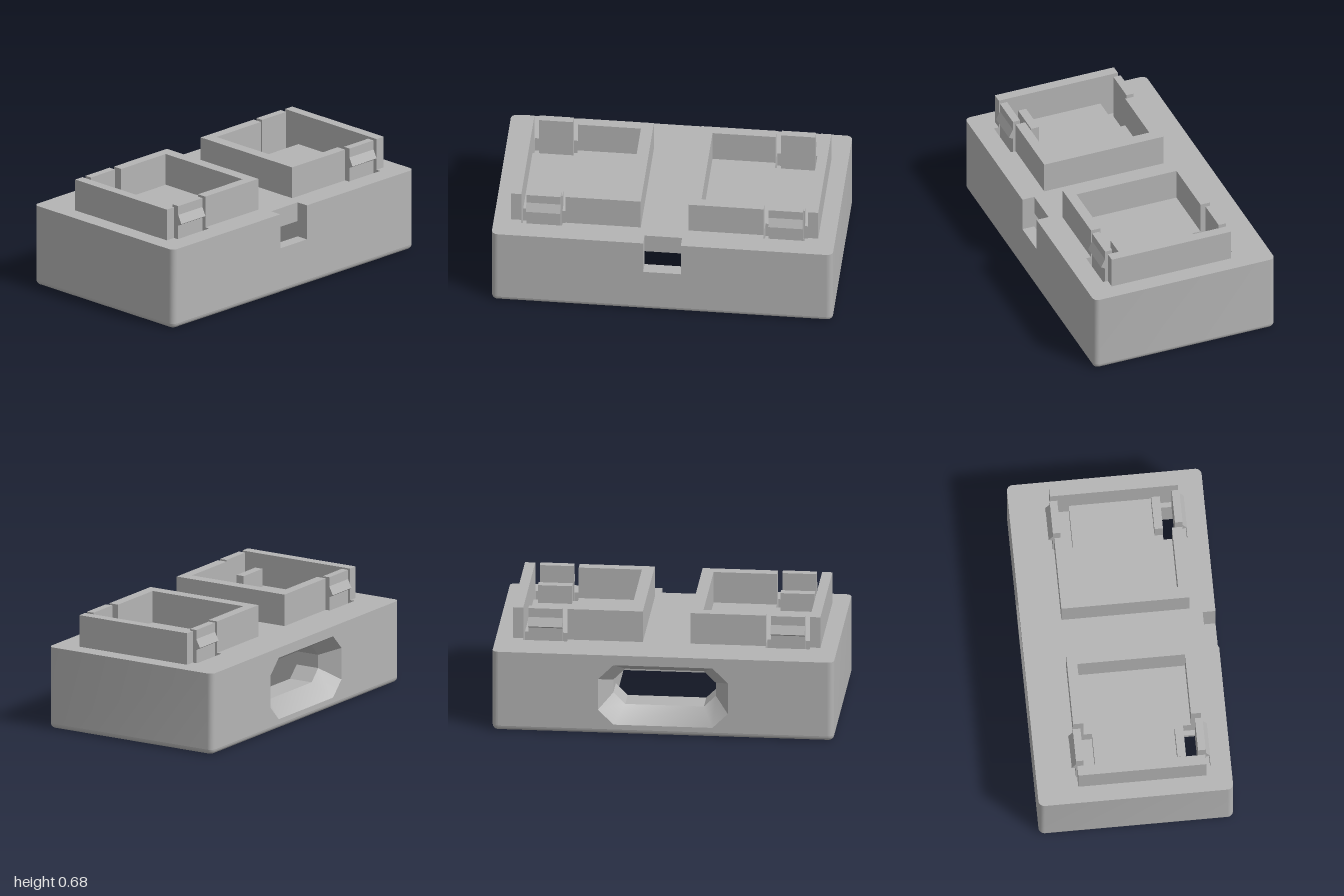
import * as THREE from 'three';
import { toCreasedNormals } from 'three/addons/utils/BufferGeometryUtils.js';

const TOP = 0.49, RIM = 0.68, CEIL = 0.375, POCKET = 0.4, FILLET = 0.03;

const plastic = () => {
  const m = new THREE.MeshStandardMaterial({ color: 0xb4b4b4, side: THREE.DoubleSide });
  m.name = 'grey plastic';
  return m;
};

const rect = (x0, x1, y0, y1) => [[x0, y0], [x1, y0], [x1, y1], [x0, y1]];
const mirrorX = (pts) => pts.map(([x, y]) => [-x, y]);

function toShape(pts, holes = []) {
  const v = (list) => list.map(([x, y]) => new THREE.Vector2(x, y));
  const shape = new THREE.Shape(v(pts));
  shape.holes = holes.map((h) => new THREE.Path(v(h)));
  return shape;
}

// Surface through rings of 3D points
function loft(rings, closed) {
  const n = rings[0].length, index = [];
  const cols = closed ? n : n - 1;
  for (let r = 0; r < rings.length - 1; r++) {
    for (let i = 0; i < cols; i++) {
      const a = r * n + i, b = r * n + (i + 1) % n;
      index.push(a, a + n, b, b, a + n, b + n);
    }
  }
  const g = new THREE.BufferGeometry();
  g.setAttribute('position', new THREE.Float32BufferAttribute(rings.flat(2), 3));
  g.setIndex(index);
  return toCreasedNormals(g, 0.6);
}
const atY = (pts, y) => pts.map(([x, z]) => [x, y, z]);
const atZ = (pts, z) => pts.map(([x, y]) => [x, y, z]);
const wall = (pts, y0, y1, closed = true) => loft([atY(pts, y0), atY(pts, y1)], closed);
const level = (pts, y, holes) => new THREE.ShapeGeometry(toShape(pts, holes)).rotateX(Math.PI / 2).translate(0, y, 0);
const panel = (pts, z, holes) => new THREE.ShapeGeometry(toShape(pts, holes)).translate(0, 0, z);

// Rounded rectangle outline of the body, inset on all sides
const ARC = 7;
function outline(inset = 0) {
  const R = 0.035, pts = [];
  [[1, 1], [-1, 1], [-1, -1], [1, -1]].forEach(([sx, sz], c) => {
    for (let i = 0; i < ARC; i++) {
      const a = (c + i / (ARC - 1)) * Math.PI / 2;
      pts.push([sx * (1 - R) + (R - inset) * Math.cos(a), sz * (0.57 - R) + (R - inset) * Math.sin(a)]);
    }
  });
  return pts;
}

function octagon(w, y0, y1, c) {
  return [[w - c, y0], [w, y0 + c], [w, y1 - c], [w - c, y1], [c - w, y1], [-w, y1 - c], [-w, y0 + c], [c - w, y0]];
}

// Slot with a round end in the underside
function keyhole() {
  const cx = 0.5, cz = 0.38, r = 0.145, z0 = 0.31, z1 = 0.47;
  const a0 = Math.asin((z1 - cz) / r), a1 = Math.PI * 2 + Math.asin((z0 - cz) / r);
  const pts = [[0.88, z0], [0.88, z1]];
  for (let i = 0; i <= 28; i++) {
    const a = a0 + (a1 - a0) * i / 28;
    pts.push([cx + r * Math.cos(a), cz + r * Math.sin(a)]);
  }
  return pts;
}

export function createModel() {
  const model = new THREE.Group();
  model.name = 'twoSocketBase';
  const mat = plastic();
  const add = (parent, name, geo) => {
    const m = new THREE.Mesh(geo, mat);
    m.name = name;
    parent.add(m);
  };
  const flipZ = (z) => 0.09 - z;

  // Openings, listed for both sides
  const frontPocket = rect(0.58, 0.84, 0.31, 0.45);
  const backPocket = rect(0.58, 0.84, flipZ(0.45), flipZ(0.31));
  const slot = rect(0.61, 0.81, 0.312, 0.38);
  const key = keyhole();
  const cavity = rect(-0.33, 0.33, -0.31, 0.495);
  const pockets = [frontPocket, backPocket, mirrorX(frontPocket), mirrorX(backPocket)];
  const portOuter = octagon(0.38, 0.06, 0.43, 0.09);
  const portInner = octagon(0.3, 0.15, 0.37, 0.07);

  // Body skin
  const body = new THREE.Group();
  body.name = 'body';
  model.add(body);
  const ring = outline();
  const flatX = 0.965;
  const fillet = [];
  for (let k = 0; k <= 6; k++) {
    const t = k / 6 * Math.PI / 2;
    fillet.push(atY(outline(FILLET * (1 - Math.sin(t))), FILLET * (1 - Math.cos(t))));
  }
  add(body, 'bottomFillet', loft(fillet, true));
  add(body, 'leftSide', wall([...ring.slice(3 * ARC), ...ring.slice(0, ARC)], FILLET, TOP, false));
  add(body, 'rightSide', wall(ring.slice(ARC, 3 * ARC), FILLET, TOP, false));
  add(body, 'backPanel', panel(rect(-flatX, flatX, FILLET, TOP), -0.57, [portOuter]));
  add(body, 'frontPanel', panel([[-flatX, FILLET], [flatX, FILLET], [flatX, TOP], [0.11, TOP],
    [0.11, 0.28], [-0.11, 0.28], [-0.11, TOP], [-flatX, TOP]], 0.57));
  add(body, 'underside', level(outline(FILLET), 0, [cavity, key, mirrorX(key)]));
  const notch = [[0.11, 0.57], [0.11, 0.495], [-0.11, 0.495], [-0.11, 0.57]];
  add(body, 'deck', level([...ring.slice(0, ARC), ...notch, ...ring.slice(ARC)], TOP, pockets));

  // Front notch
  add(body, 'notchSides', wall(notch.slice(0, 2), 0.28, TOP, false));
  add(body, 'notchSides', wall(notch.slice(2), 0.28, TOP, false));
  add(body, 'notchBack', panel(rect(-0.11, 0.11, CEIL, TOP), 0.495));
  add(body, 'notchFloor', level(rect(-0.11, 0.11, 0.495, 0.57), 0.28));

  // Flared cable port and central cavity
  add(body, 'cablePort', loft([atZ(portOuter, -0.57), atZ(portInner, -0.46), atZ(portInner, -0.31)], true));
  add(body, 'cavityBack', panel(rect(-0.33, 0.33, 0, CEIL), -0.31, [portInner]));
  add(body, 'cavityFront', panel([[-0.33, 0], [0.33, 0], [0.33, CEIL], [0.11, CEIL], [0.11, 0.28],
    [-0.11, 0.28], [-0.11, CEIL], [-0.33, CEIL]], 0.495));
  add(body, 'cavityCeiling', level(cavity, CEIL));

  const clipProfile = [[0.38, POCKET], [0.38, RIM], [0.425, RIM], [0.425, 0.625], [0.45, 0.575], [0.425, 0.56], [0.425, POCKET]];
  const clip = (pts, s) => new THREE.ExtrudeGeometry(toShape(pts), { depth: 0.2, bevelEnabled: false })
    .rotateY(-Math.PI / 2).translate(s > 0 ? 0.81 : -0.61, 0, 0);

  for (const s of [1, -1]) {
    const side = (pts) => (s > 0 ? pts : mirrorX(pts));
    const socket = new THREE.Group();
    socket.name = s > 0 ? 'leftSocket' : 'rightSocket';
    model.add(socket);

    // Underside slots
    add(socket, 'cavityWall', wall(side([[0.33, -0.31], [0.33, 0.495]]), 0, CEIL, false));
    add(socket, 'keyholeWall', wall(side(key), 0, CEIL));
    add(socket, 'keyholeCeiling', level(side(key), CEIL, [side(slot)]));

    // Clip pockets in the deck
    add(socket, 'slotWall', wall(side(slot), CEIL, POCKET));
    add(socket, 'frontPocketWall', wall(side(frontPocket), POCKET, TOP));
    add(socket, 'frontPocketFloor', level(side(frontPocket), POCKET, [side(slot)]));
    add(socket, 'backPocketWall', wall(side(backPocket), POCKET, TOP));
    add(socket, 'backPocketFloor', level(side(backPocket), POCKET));

    // Raised frame, interrupted at the clips
    const raised = (pts) => new THREE.ExtrudeGeometry(toShape(side(pts)), { depth: RIM - TOP, bevelEnabled: false })
      .rotateX(Math.PI / 2).translate(0, RIM, 0);
    add(socket, 'frame', raised([[0.14, -0.33], [0.58, -0.33], [0.58, -0.27], [0.21, -0.27],
      [0.21, 0.36], [0.58, 0.36], [0.58, 0.42], [0.14, 0.42]]));
    add(socket, 'frameOuterWall', raised(rect(0.84, 0.9, -0.33, 0.42)));

    // Hooked clips and the stop block behind the front one
    add(socket, 'frontClip', clip(clipProfile, s));
    add(socket, 'backClip', clip(clipProfile.map(([z, y]) => [flipZ(z), y]), s));
    add(socket, 'stopBlock', new THREE.BoxGeometry(0.2, 0.11, 0.05).translate(s * 0.71, TOP + 0.055, 0.285));
  }
  return model;
}
